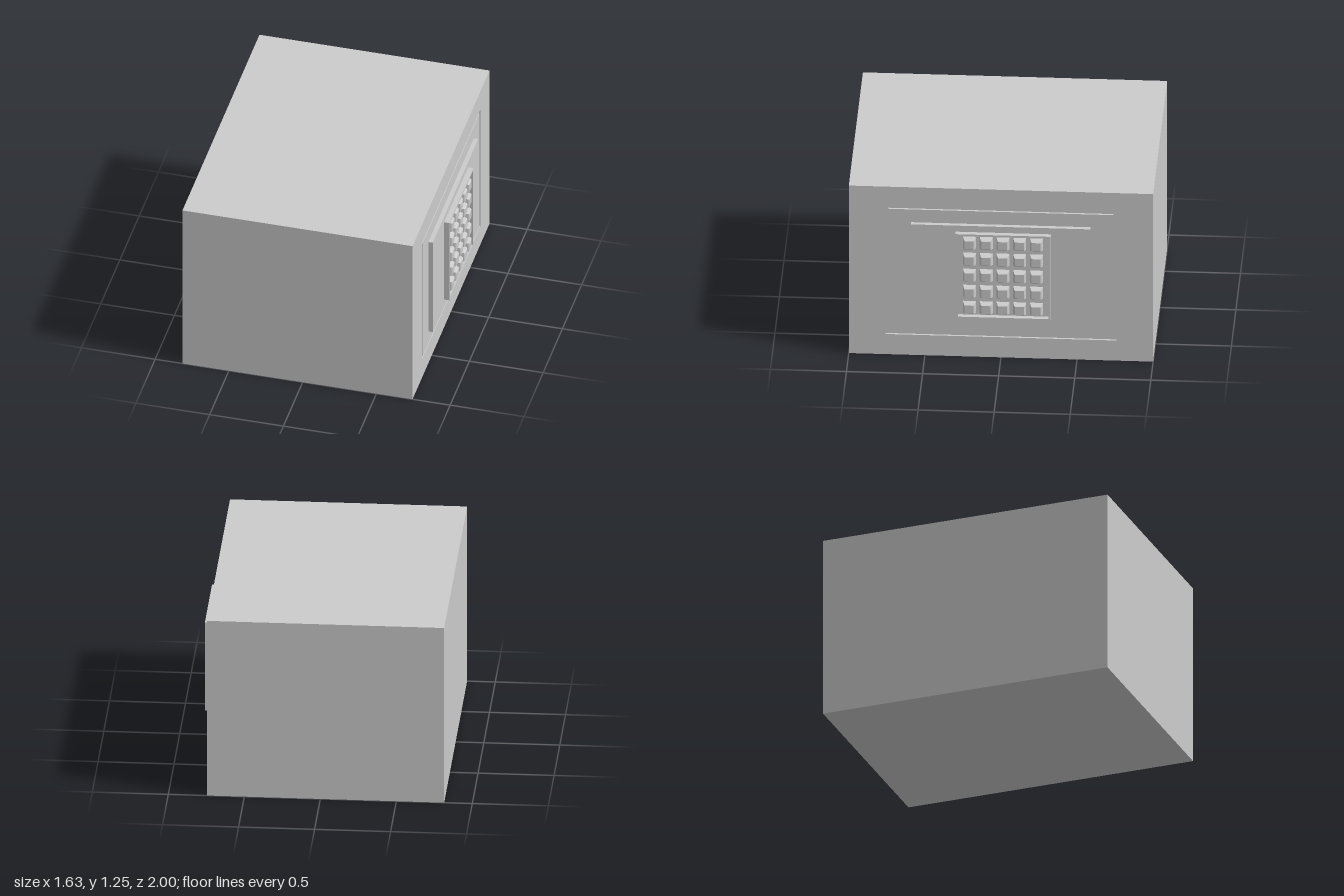
import * as THREE from 'three';

const grey = new THREE.MeshStandardMaterial({ color: 0xcccccc, flatShading: true });

function add(group, geometry, name) {
  const mesh = new THREE.Mesh(geometry, grey);
  mesh.name = name;
  group.add(mesh);
  return mesh;
}

// Box given by its limits on each axis
function slab(group, name, [x0, x1], [y0, y1], [z0, z1]) {
  const mesh = add(group, new THREE.BoxGeometry(x1 - x0, y1 - y0, z1 - z0), name);
  mesh.position.set((x0 + x1) / 2, (y0 + y1) / 2, (z0 + z1) / 2);
}

function rectangle(path, [y0, y1], [z0, z1]) {
  path.moveTo(-z1, y0);
  path.lineTo(-z0, y0);
  path.lineTo(-z0, y1);
  path.lineTo(-z1, y1);
  path.closePath();
  return path;
}

// Rectangular ring standing on a side wall, from x0 to x1
function frame(group, name, [x0, x1], outerY, outerZ, innerY, innerZ) {
  const shape = rectangle(new THREE.Shape(), outerY, outerZ);
  shape.holes.push(rectangle(new THREE.Path(), innerY, innerZ));
  const geometry = new THREE.ExtrudeGeometry(shape, { depth: x1 - x0, bevelEnabled: false });
  geometry.rotateY(Math.PI / 2).translate(x0, 0, 0);
  add(group, geometry, name);
}

// Square frustum pointing along +x
function frustum(x0, x1, baseHalf, topHalf) {
  return new THREE.CylinderGeometry(topHalf * Math.SQRT2, baseHalf * Math.SQRT2, x1 - x0, 4)
    .rotateY(Math.PI / 4)
    .rotateZ(-Math.PI / 2)
    .translate((x0 + x1) / 2, 0, 0);
}

export function createModel() {
  const model = new THREE.Group();
  model.name = 'keypadBlock';

  // Body, with a thin groove cut around the panel area
  const face = 0.745, grooveFloor = 0.73;
  slab(model, 'body', [-0.815, grooveFloor], [0, 1.25], [-1, 1]);
  frame(model, 'grooveSurround', [grooveFloor, face], [0, 1.25], [-1, 1], [0.15, 1.1], [-0.76, 0.76]);
  slab(model, 'grooveInset', [grooveFloor, face], [0.165, 1.085], [-0.74, 0.74]);

  // Raised panel and the rim of the keypad
  slab(model, 'panel', [face, 0.775], [0.26, 0.99], [-0.59, 0.59]);
  frame(model, 'keypadRim', [0.775, 0.81], [0.315, 0.945], [-0.33, 0.295], [0.33, 0.93], [-0.315, 0.28]);

  // Five by five tapered keys with a chamfered top
  const keys = new THREE.Group();
  keys.name = 'keys';
  const shank = frustum(0.775, 0.81, 0.043, 0.034);
  const cap = frustum(0.81, 0.815, 0.034, 0.029);
  for (let row = 0; row < 5; row++) {
    for (let column = 0; column < 5; column++) {
      const key = new THREE.Group();
      key.name = 'key';
      add(key, shank, 'keyShank');
      add(key, cap, 'keyCap');
      key.position.set(0, 0.388 + row * 0.12, -0.235 + column * 0.11);
      keys.add(key);
    }
  }
  model.add(keys);
  return model;
}
